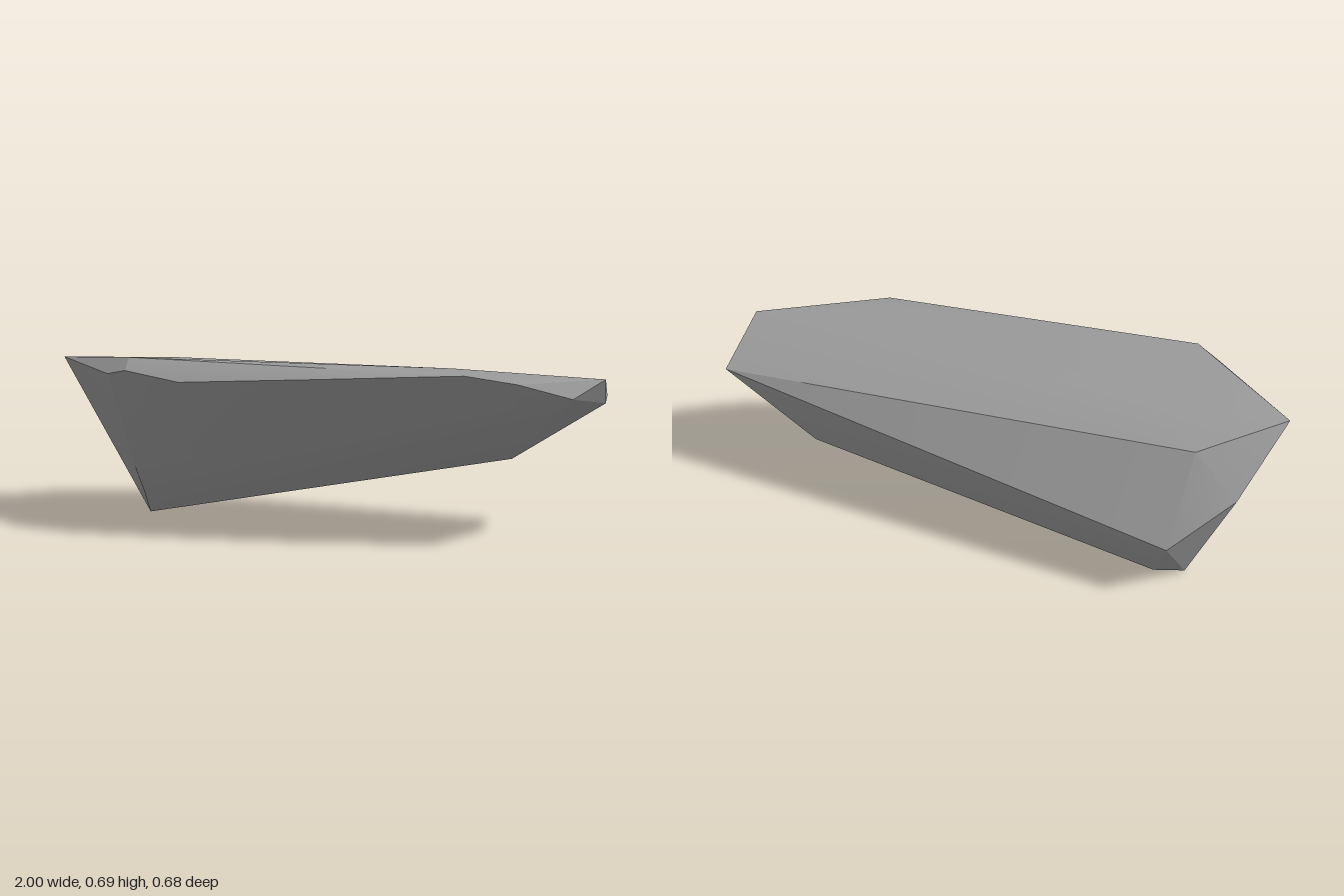
import * as THREE from 'three';
import { ConvexGeometry } from 'three/addons/geometries/ConvexGeometry.js';
import { toCreasedNormals } from 'three/addons/utils/BufferGeometryUtils.js';

const stone = new THREE.MeshStandardMaterial({ color: 0x999999 });
stone.name = 'grey stone';

// Corners of the rock shard, grouped by region
const crown = [
  [-0.62, 0.69, 0.29], [0.5, 0.683, 0.18], [-0.6, 0.635, -0.05],
  [-0.735, 0.578, -0.19], [-0.68, 0.58, -0.187],
];
const frontRim = [
  [-1, 0.63, 0.02], [-0.7, 0.63, 0.3], [-0.62, 0.65, 0.33], [-0.42, 0.62, 0.34],
  [0.05, 0.645, 0.3], [0.55, 0.67, 0.24], [0.72, 0.64, 0.19], [0.9, 0.585, 0.12],
];
const narrowEnd = [[1, 0.64, 0.02], [1, 0.535, -0.09], [1, 0.535, -0.23]];
const keel = [
  [0.67, 0.285, -0.205], [-0.73, 0, -0.12], [-0.63, 0.027, -0.185],
  [-0.71, 0.11, -0.02], [-0.7, 0.23, 0.08],
];
const backEdge = [[-0.7, 0.265, -0.34], [-0.89, 0.42, -0.2]];

export function createModel() {
  const group = new THREE.Group();
  group.name = 'rockShard';

  // Faceted body: gentle bends stay smooth, sharp edges stay crisp
  const points = [...crown, ...frontRim, ...narrowEnd, ...keel, ...backEdge]
    .map((p) => new THREE.Vector3(...p));
  const body = new THREE.Mesh(toCreasedNormals(new ConvexGeometry(points), 0.4), stone);
  body.name = 'rockBody';
  group.add(body);

  return group;
}
